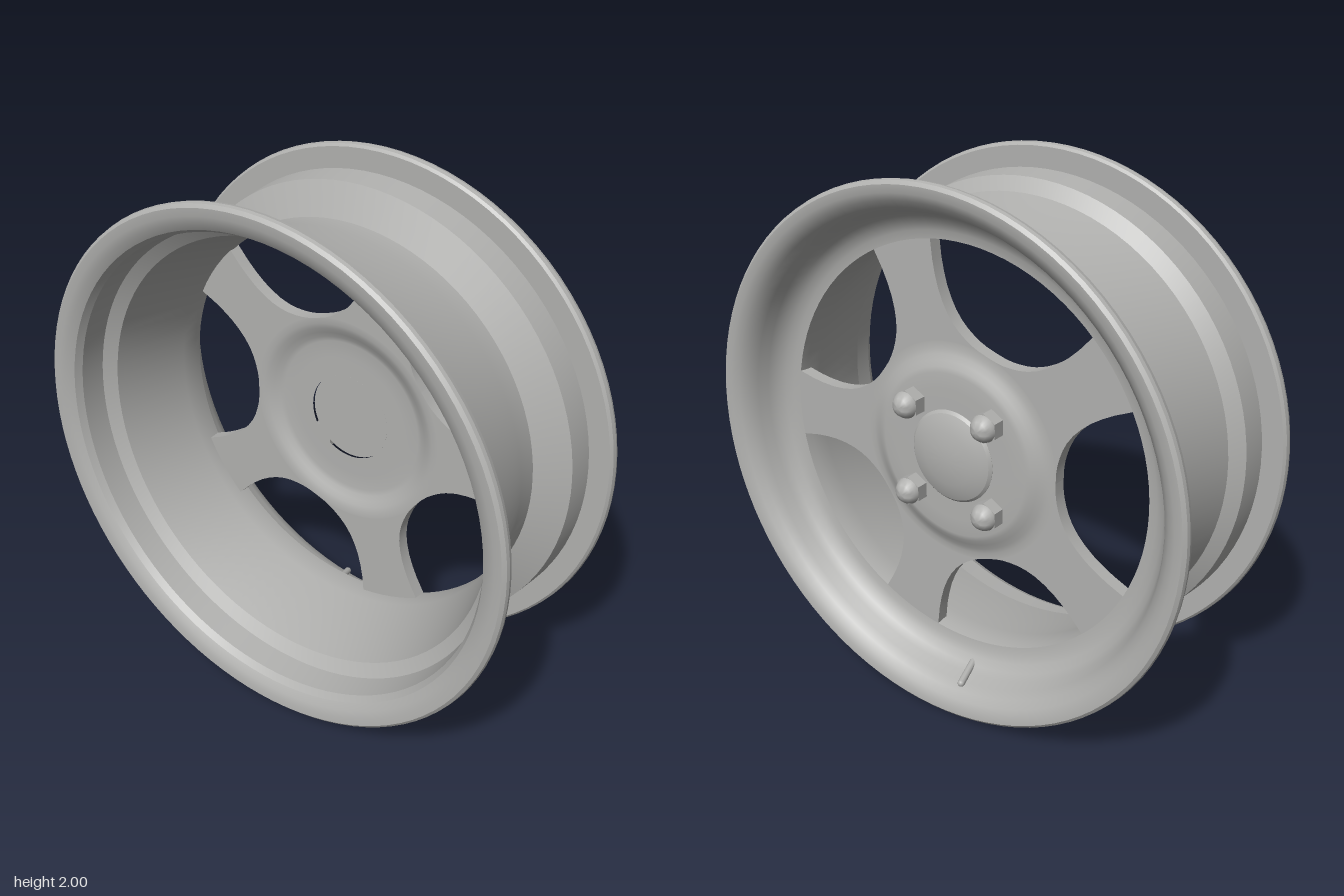
import * as THREE from 'three';
import { mergeGeometries, mergeVertices, toCreasedNormals } from 'three/addons/utils/BufferGeometryUtils.js';

const SPOKES = 5;
const THICK = 0.05;
// Spoke outline: radius and half angle in degrees (36 = joined to the neighbours)
const OUTLINE = [
  [0.172, 36], [0.25, 36], [0.31, 36], [0.33, 36], [0.35, 36], [0.37, 36], [0.39, 36], [0.412, 36],
  [0.415, 30.5], [0.423, 26.5], [0.437, 22.7], [0.455, 19.3], [0.48, 16.2], [0.515, 13.5],
  [0.555, 11.7], [0.6, 10.5], [0.65, 9.9], [0.7, 9.7], [0.775, 9.9],
];
const HUB_EDGE = 7; // row where the windows begin
const COLS = 16;

// Outer face of the disc: hub raised above the spokes
const discZ = (r) => -0.2 - 0.035 * (1 - THREE.MathUtils.smoothstep(r, 0.3, 0.4));

function fromArrays(pos, idx) {
  const g = new THREE.BufferGeometry();
  g.setAttribute('position', new THREE.Float32BufferAttribute(pos, 3));
  g.setIndex(idx);
  return g;
}

function polar(r, deg, z) {
  const a = THREE.MathUtils.degToRad(deg);
  return [r * Math.cos(a), r * Math.sin(a), z];
}

// One face of a spoke with its fifth of the hub
function spokeFace(offset, flip) {
  const pos = [], idx = [], n = COLS + 1;
  OUTLINE.forEach(([r, half], i) => {
    for (let j = 0; j <= COLS; j++) {
      pos.push(...polar(r, half * (2 * j / COLS - 1), discZ(r) + offset));
      if (i && j) {
        const a = (i - 1) * n + j - 1, b = a + n;
        if (flip) idx.push(a, b + 1, b, a, a + 1, b + 1);
        else idx.push(a, b, b + 1, a, b + 1, a + 1);
      }
    }
  });
  return fromArrays(pos, idx);
}

// Window edge along one side of a spoke
function spokeSide(side) {
  const pos = [], idx = [];
  OUTLINE.slice(HUB_EDGE).forEach(([r, half], i) => {
    pos.push(...polar(r, side * half, discZ(r)), ...polar(r, side * half, discZ(r) + THICK));
    if (i) {
      const a = 2 * i - 2;
      if (side > 0) idx.push(a, a + 1, a + 3, a, a + 3, a + 2);
      else idx.push(a, a + 3, a + 1, a, a + 2, a + 3);
    }
  });
  return fromArrays(pos, idx);
}

// Repeat a sector around the axle and smooth it as one surface
function aroundAxle(sector) {
  const parts = [];
  for (let k = 0; k < SPOKES; k++) parts.push(sector.clone().rotateZ(k * 2 * Math.PI / SPOKES));
  const g = mergeVertices(mergeGeometries(parts), 1e-4);
  g.computeVertexNormals();
  return g;
}

// Turned part about the z axis from [radius, z] points
function turned(points, segments, crease = 0.4) {
  const g = new THREE.LatheGeometry(points.map(([r, z]) => new THREE.Vector2(r, z)), segments);
  return toCreasedNormals(g.rotateX(Math.PI / 2), crease);
}

export function createModel() {
  const wheel = new THREE.Group();
  wheel.name = 'wheel';
  const metal = new THREE.MeshStandardMaterial({ color: 0xb0b0ae });
  metal.name = 'silver grey';

  const add = (parent, name, geometry) => {
    const mesh = new THREE.Mesh(geometry, metal);
    mesh.name = name;
    parent.add(mesh);
    return mesh;
  };

  const body = new THREE.Group();
  body.name = 'wheelBody';
  body.position.y = 1;
  wheel.add(body);

  // Rim: bowl, back flange, outer barrel, front flange, inner barrel
  add(body, 'rim', turned([
    [0.77, -0.2], [0.8, -0.204], [0.83, -0.217], [0.855, -0.24], [0.872, -0.27], [0.886, -0.31],
    [0.905, -0.345], [0.93, -0.368], [0.957, -0.381], [0.985, -0.383], [0.997, -0.373],
    [1, -0.36], [0.997, -0.345], [0.988, -0.336], [0.91, -0.336], [0.9, -0.235],
    [0.78, -0.18], [0.78, -0.1], [0.85, 0.2], [0.9, 0.235], [0.91, 0.336],
    [0.988, 0.336], [0.997, 0.345], [1, 0.36], [0.997, 0.373], [0.985, 0.383],
    [0.957, 0.381], [0.93, 0.373], [0.905, 0.357], [0.89, 0.33], [0.88, 0.235],
    [0.835, 0.2], [0.765, -0.1], [0.765, -0.17], [0.77, -0.2],
  ], 96));

  // Spoked disc
  const disc = new THREE.Group();
  disc.name = 'spokedDisc';
  body.add(disc);
  add(disc, 'outerFace', aroundAxle(spokeFace(0, true)));
  add(disc, 'innerFace', aroundAxle(spokeFace(THICK, false)));
  add(disc, 'windowEdgesLeft', aroundAxle(spokeSide(1)));
  add(disc, 'windowEdgesRight', aroundAxle(spokeSide(-1)));
  add(disc, 'hubBore', new THREE.CylinderGeometry(0.172, 0.172, THICK, 48, 1, true)
    .rotateX(Math.PI / 2).translate(0, 0, discZ(0) + THICK / 2)).geometry.scale(1, 1, 1);

  // Domed centre cap
  add(body, 'centreCap', turned([
    [0, -0.275], [0.05, -0.273], [0.1, -0.266], [0.14, -0.256], [0.165, -0.246],
    [0.175, -0.236], [0.174, -0.197], [0, -0.197],
  ], 48));

  // Four hexagonal nuts with domed tips
  const hex = toCreasedNormals(
    new THREE.CylinderGeometry(0.056, 0.056, 0.055, 6).rotateX(Math.PI / 2), 0.4);
  const dome = turned([
    [0, -0.042], [0.018, -0.039], [0.034, -0.029], [0.045, -0.014], [0.05, 0],
  ], 24, 0.6);
  for (const x of [-0.17, 0.17]) {
    for (const y of [-0.17, 0.17]) {
      const nut = new THREE.Group();
      nut.name = 'wheelNut';
      nut.position.set(x, y, -0.255);
      add(nut, 'nutBody', hex);
      add(nut, 'nutDome', dome).position.z = -0.0275;
      body.add(nut);
    }
  }

  // Valve stem through the lower bowl
  const stem = new THREE.LineCurve3(
    new THREE.Vector3(-0.07, -0.84, -0.19), new THREE.Vector3(-0.1, -0.875, -0.33));
  add(body, 'valveStem', new THREE.TubeGeometry(stem, 1, 0.014, 10));
  add(body, 'valveTip', new THREE.SphereGeometry(0.014, 10, 8)).position.copy(stem.v2);

  return wheel;
}
